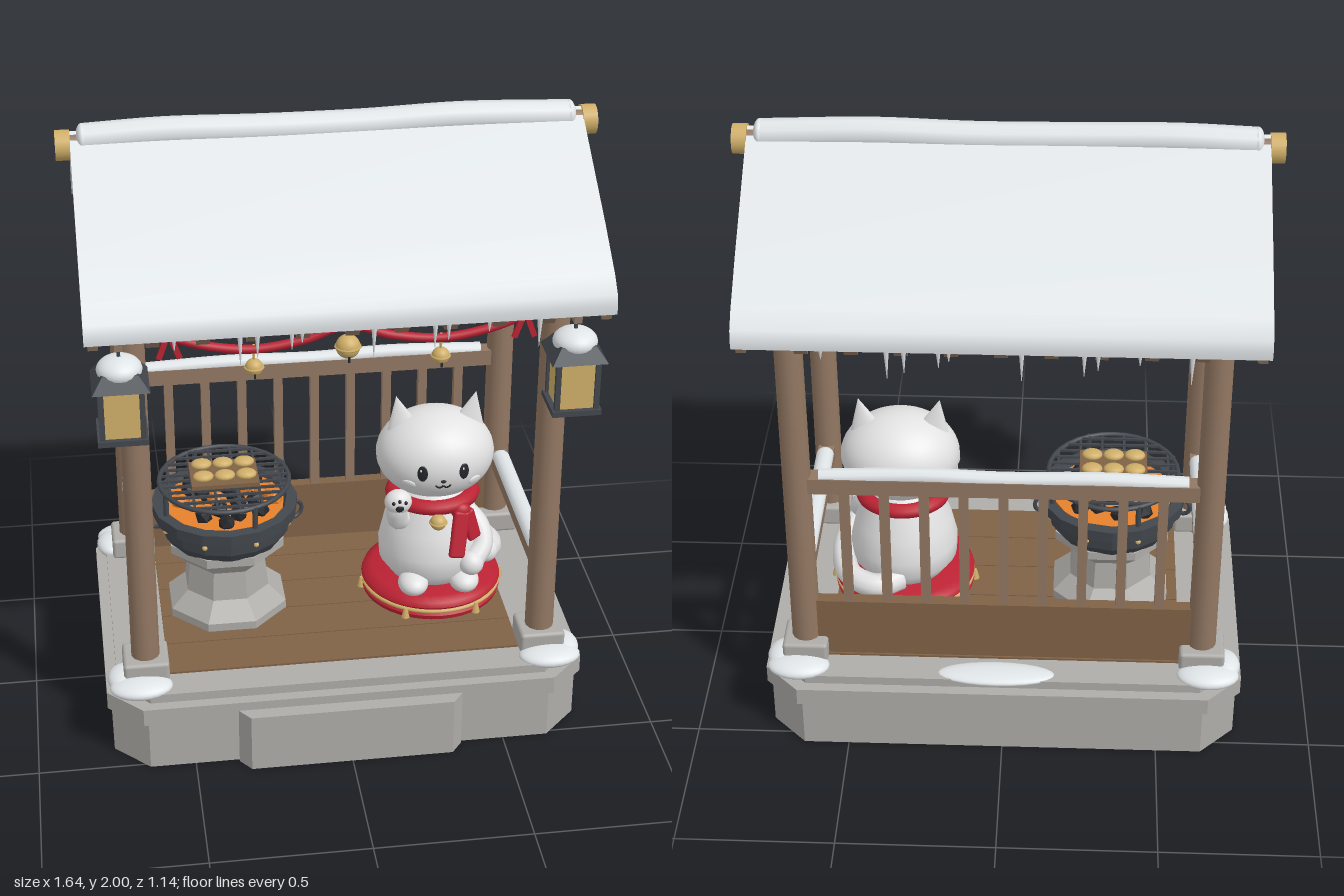
import * as THREE from 'three';
import { toCreasedNormals } from 'three/addons/utils/BufferGeometryUtils.js';
import { RoundedBoxGeometry } from 'three/addons/geometries/RoundedBoxGeometry.js';

const mat = (name, color) => Object.assign(new THREE.MeshStandardMaterial({ color }), { name });
const snow = mat('snow', 0xe9eef1), stone = mat('stone', 0xaeaca8), wood = mat('wood', 0x927762),
  floorWood = mat('floorWood', 0x806247), gold = mat('gold', 0xcfae68), red = mat('red', 0xbb2233),
  iron = mat('iron', 0x42474d), white = mat('catWhite', 0xe2e2e2), ember = mat('ember', 0xe5812c),
  dark = mat('charcoal', 0x24262a);

function put(parent, name, geo, m, x = 0, y = 0, z = 0) {
  const mesh = new THREE.Mesh(geo, m);
  mesh.name = name;
  mesh.position.set(x, y, z);
  parent.add(mesh);
  return mesh;
}
function group(parent, name, x = 0, y = 0, z = 0) {
  const g = new THREE.Group();
  g.name = name;
  g.position.set(x, y, z);
  parent.add(g);
  return g;
}
const box = (w, h, d) => new THREE.BoxGeometry(w, h, d);
const cyl = (a, b, h, n = 16) => new THREE.CylinderGeometry(a, b, h, n);
const ball = (x, y = x, z = x, n = 24) => new THREE.SphereGeometry(1, n, Math.ceil(n * 0.7)).scale(x, y, z);
const v2 = pts => pts.map(p => new THREE.Vector2(...p));
const v3 = pts => pts.map(p => new THREE.Vector3(...p));
const crease = (g, a = 0.6) => toCreasedNormals(g, a);
const lathe = (pts, n, a) => crease(new THREE.LatheGeometry(v2(pts), n), a);
const tube = (pts, r, n = 32) => new THREE.TubeGeometry(new THREE.CatmullRomCurve3(v3(pts)), n, r, 10);
// Outline in (x, z) raised from y = 0
function slab(pts, h) {
  return new THREE.ExtrudeGeometry(new THREE.Shape(v2(pts.map(([x, z]) => [x, -z]))), { depth: h, bevelEnabled: false })
    .rotateX(-Math.PI / 2);
}
// Outline in (z, y) stretched along x about the middle
function along(pts, w) {
  const g = new THREE.ExtrudeGeometry(new THREE.Shape(v2(pts)), { depth: w, bevelEnabled: false });
  return crease(g.translate(0, 0, -w / 2).rotateY(-Math.PI / 2), 0.5);
}
const octagon = (x, z, c) => [[-x, -z + c], [-x, z - c], [-x + c, z], [x - c, z], [x, z - c], [x, -z + c], [x - c, -z], [-x + c, -z]];
const mirror = pts => [...pts, ...pts.filter(p => p[0] !== 0).reverse().map(([z, y]) => [-z, y])];

function buildBase(root) {
  const g = group(root, 'base');
  put(g, 'plinth', slab(octagon(0.755, 0.53, 0.11), 0.17), stone);
  put(g, 'plinthCap', slab(octagon(0.77, 0.54, 0.11), 0.06), stone, 0, 0.17);
  put(g, 'kerb', slab(octagon(0.735, 0.505, 0.1), 0.03), stone, 0, 0.23);
  put(g, 'frontStep', slab([[-0.36, 0.5], [-0.36, 0.54], [-0.325, 0.585], [0.325, 0.585], [0.36, 0.54], [0.36, 0.5]], 0.2), stone);
  for (let i = 0; i < 5; i++) put(g, 'floorPlank', box(1.14, 0.02, 0.156), floorWood, 0, 0.257, (i - 2) * 0.16);
  put(g, 'snowPatch', ball(0.19, 0.02, 0.055), snow, 0.02, 0.257, -0.47);
}

function buildFrame(root) {
  const g = group(root, 'frame');
  for (const x of [-0.64, 0.64]) for (const z of [-0.372, 0.372]) {
    put(g, 'post', cyl(0.043, 0.046, 1.25, 14), wood, x, 0.92, z);
    put(g, 'postHead', box(0.1, 0.07, 0.08), wood, x, 1.535, z);
    put(g, 'postStone', new RoundedBoxGeometry(0.145, 0.075, 0.14, 2, 0.012), stone, x, 0.295, z);
    const s = Math.sign(x), t = Math.sign(z);
    put(g, 'postSnow', ball(0.1, 0.03, 0.065), snow, x + 0.02 * s, 0.262, z + 0.082 * t);
    put(g, 'postSnow', ball(0.05, 0.032, 0.07), snow, x + 0.075 * s, 0.262, z + 0.03 * t);
  }
  // Back railing
  const z = -0.372;
  put(g, 'backRail', box(1.22, 0.055, 0.055), wood, 0, 0.935, z);
  put(g, 'backPanel', box(1.22, 0.215, 0.04), floorWood, 0, 0.37, z);
  for (let i = -4; i <= 4; i++) put(g, 'baluster', box(0.03, 0.45, 0.03), wood, i * 0.124, 0.69, z);
  put(g, 'backRailSnow', tube([[-0.57, 0.957, z], [-0.3, 0.966, z], [0, 0.96, z], [0.25, 0.968, z], [0.57, 0.956, z]], 0.026), snow);
  // Side rails
  for (const x of [-0.64, 0.64]) {
    put(g, 'sideRail', box(0.055, 0.05, 0.68), wood, x, 0.552, 0);
    put(g, 'sideRailSnow', new THREE.CapsuleGeometry(0.03, 0.56, 6, 12).rotateX(Math.PI / 2).scale(1, 0.8, 1), snow, x, 0.577, 0);
  }
}

function buildRoof(root) {
  const g = group(root, 'roof');
  put(g, 'roofSnow', along(mirror([[0, 1.968], [0.36, 1.735], [0.5, 1.635], [0.545, 1.59], [0.555, 1.56], [0.552, 1.53], [0.54, 1.54], [0, 1.91]]), 1.555), snow);
  put(g, 'roofBoards', along(mirror([[0, 1.93], [0.545, 1.546], [0.53, 1.527], [0, 1.895]]), 1.5), wood);
  for (const s of [-1, 1]) {
    put(g, 'bargeBoard', along(mirror([[0, 1.925], [0.545, 1.545], [0.53, 1.505], [0, 1.87]]), 0.03), wood, s * 0.752);
    put(g, 'gable', along(mirror([[0, 1.9], [0.45, 1.585], [0.45, 1.53]]), 0.05), wood, s * 0.64);
    put(g, 'eaveBeam', box(1.5, 0.055, 0.07), wood, 0, 1.528, s * 0.372);
    for (const e of [-1, 1]) put(g, 'beamCap', box(0.012, 0.057, 0.072), gold, e * 0.754, 1.528, s * 0.372);
    for (let i = -4; i <= 4; i++) {
      put(g, 'rafter', box(0.04, 0.045, 0.64), wood, i * 0.145, 1.7, s * 0.268).rotation.x = s * 0.614;
    }
    [-0.52, -0.33, -0.28, -0.18, -0.15, 0.06, 0.24, 0.28, 0.4, 0.55].forEach((x, i) => {
      const h = 0.05 + 0.02 * ((i * 3) % 4);
      put(g, 'icicle', cyl(0.01, 0.001, h, 6), snow, x * s, 1.545 - h / 2, s * 0.54);
    });
    put(g, 'ridgeCap', cyl(0.046, 0.046, 0.045, 20).rotateZ(Math.PI / 2), gold, s * 0.799, 1.925);
  }
  put(g, 'ridgePole', cyl(0.038, 0.038, 1.56).rotateZ(Math.PI / 2), wood, 0, 1.925);
  put(g, 'ridgeSnow', tube([[-0.74, 1.943, 0], [-0.5, 1.952, 0], [-0.2, 1.947, 0.002], [0.1, 1.946, 0], [0.4, 1.954, 0], [0.74, 1.943, 0]], 0.046), snow);
  for (const s of [-1, 1]) put(g, 'ridgeSnowEnd', ball(0.02, 0.046, 0.046), snow, s * 0.74, 1.943);
}

function buildLantern(root, x) {
  const g = group(root, 'lantern', x, 0, 0.468);
  put(g, 'lanternArm', box(0.025, 0.025, 0.13), wood, 0, 1.49, -0.04);
  put(g, 'lanternCord', cyl(0.006, 0.006, 0.06, 6), iron, 0, 1.46);
  put(g, 'lanternGlow', box(0.118, 0.18, 0.118), gold, 0, 1.285);
  for (const a of [-1, 1]) for (const b of [-1, 1]) put(g, 'lanternCorner', box(0.016, 0.19, 0.016), iron, a * 0.06, 1.285, b * 0.06);
  put(g, 'lanternBase', box(0.15, 0.018, 0.15), iron, 0, 1.2);
  put(g, 'lanternFinial', cyl(0.008, 0.016, 0.03, 8), iron, 0, 1.178);
  put(g, 'lanternRoof', crease(cyl(0.075, 0.12, 0.045, 4).rotateY(Math.PI / 4), 0.3), iron, 0, 1.39);
  put(g, 'lanternSnow', ball(0.068, 0.042, 0.068), snow, 0, 1.41);
}

function buildGarland(root) {
  const g = group(root, 'garland', 0, 0, 0.425);
  put(g, 'rope', tube([[-0.55, 1.49, 0], [-0.42, 1.445, 0], [-0.28, 1.425, 0], [-0.13, 1.445, 0], [0, 1.485, 0],
    [0.13, 1.445, 0], [0.28, 1.425, 0], [0.42, 1.445, 0], [0.55, 1.49, 0]], 0.014, 64), red);
  for (const [x, y, r] of [[-0.28, 1.365, 0.027], [0, 1.415, 0.037], [0.28, 1.365, 0.027]]) {
    put(g, 'bellCord', cyl(0.004, 0.004, 0.07, 6), gold, x, y + 0.04);
    put(g, 'bell', ball(r), gold, x, y);
    put(g, 'bellBand', new THREE.TorusGeometry(r, 0.004, 6, 20).rotateX(Math.PI / 2), gold, x, y);
    put(g, 'bellSlot', box(0.006, r, 0.006), dark, x, y - r * 0.6, r * 0.75);
  }
  for (const s of [-1, 1]) {
    const bow = group(g, 'bow', s * 0.53, 1.49, 0.012);
    put(bow, 'bowKnot', ball(0.017), red);
    for (const e of [-1, 1]) {
      put(bow, 'bowLoop', new THREE.TorusGeometry(0.02, 0.009, 8, 16).scale(1.25, 0.8, 1), red, e * 0.032, 0.006).rotation.z = e * 0.3;
      put(bow, 'bowTail', box(0.017, 0.075, 0.008), red, e * 0.018, -0.038).rotation.z = e * 0.35;
    }
  }
}

function buildBrazier(root) {
  const g = group(root, 'brazier', -0.345, 0, 0);
  put(g, 'pedestal', lathe([[0, 0.262], [0.205, 0.262], [0.205, 0.295], [0.145, 0.35], [0.135, 0.45], [0.2, 0.51], [0.2, 0.54], [0, 0.54]], 8, 0.2).rotateY(Math.PI / 8), stone);
  put(g, 'bowl', lathe([[0, 0.53], [0.19, 0.535], [0.213, 0.57], [0.218, 0.615], [0.238, 0.62], [0.24, 0.66], [0.205, 0.662], [0.19, 0.63], [0, 0.625]], 16, 0.2), iron);
  put(g, 'embers', cyl(0.195, 0.195, 0.02, 20), ember, 0, 0.642);
  for (let i = 0; i < 22; i++) {
    const a = i * 2.4, r = 0.165 * Math.sqrt((i + 0.5) / 22);
    put(g, 'coal', new THREE.IcosahedronGeometry(0.03), i % 4 === 1 ? ember : dark, r * Math.cos(a), 0.685 - r * 0.15, r * Math.sin(a)).rotation.set(i, a, 0);
  }
  // Cooking grate
  put(g, 'grateRing', new THREE.TorusGeometry(0.212, 0.008, 8, 32).rotateX(Math.PI / 2), iron, 0, 0.735);
  for (let i = -5; i <= 5; i++) {
    const p = i * 0.036, len = 2 * Math.sqrt(0.212 ** 2 - p * p);
    put(g, 'grateBar', box(len, 0.008, 0.008), iron, 0, 0.737, p);
    if (i % 2) put(g, 'grateBar', box(0.008, 0.008, len), iron, p, 0.733, 0);
  }
  for (let i = 0; i < 8; i++) {
    const a = (i + 0.5) * Math.PI / 4, c = Math.cos(a), s = Math.sin(a);
    if (i % 2) put(g, 'grateLeg', cyl(0.009, 0.009, 0.09, 8), iron, c * 0.212, 0.695, s * 0.212);
    put(g, 'rivet', ball(0.009, 0.009, 0.009, 10), gold, c * 0.217, 0.6, s * 0.217);
  }
  for (const s of [-1, 1]) put(g, 'handle', new THREE.TorusGeometry(0.03, 0.007, 8, 20), iron, s * 0.228, 0.6).rotation.y = 0.4 * s;
  // Grilled food
  put(g, 'board', box(0.22, 0.014, 0.16), floorWood, 0, 0.752);
  for (let i = 0; i < 6; i++) put(g, 'riceCake', ball(0.034, 0.016, 0.028, 14), gold, (i % 3 - 1) * 0.07, 0.772, (i < 3 ? -1 : 1) * 0.04);
}

function buildCat(root) {
  const g = group(root, 'cat', 0.347, 0, 0);
  put(g, 'cushion', lathe([[0, 0.262], [0.2, 0.262], [0.23, 0.275], [0.234, 0.29], [0.222, 0.305], [0.234, 0.32], [0.228, 0.337], [0.2, 0.348], [0, 0.352]], 40, 0.9), red);
  put(g, 'cushionCord', new THREE.TorusGeometry(0.228, 0.007, 8, 48).rotateX(Math.PI / 2), gold, 0, 0.305);
  for (let i = 0; i < 6; i++) {
    const a = i * Math.PI / 3;
    put(g, 'tassel', cyl(0.006, 0.014, 0.035, 8), gold, 0.236 * Math.cos(a), 0.295, 0.236 * Math.sin(a));
  }
  put(g, 'body', lathe([[0, 0.345], [0.14, 0.35], [0.175, 0.4], [0.178, 0.46], [0.16, 0.54], [0.13, 0.61], [0.105, 0.68], [0, 0.7]], 32, 1.5), white);
  // Head and face
  const rx = 0.195, ry = 0.15, rz = 0.168, head = group(g, 'head', 0.005, 0.79, 0);
  put(head, 'skull', ball(rx, ry, rz, 36), white);
  for (const s of [-1, 1]) put(head, 'ear', new THREE.ConeGeometry(0.062, 0.14, 20).scale(1, 1, 0.48), white, s * 0.118, 0.142).rotation.z = -s * 0.2;
  const onFace = (name, geo, m, x, y) => {
    const z = rz * Math.sqrt(1 - (x / rx) ** 2 - (y / ry) ** 2);
    const mesh = put(head, name, geo, m);
    head.remove(mesh);
    mesh.position.set(x, y, z);
    mesh.lookAt(x + x / rx ** 2, y + y / ry ** 2, z + z / rz ** 2);
    head.add(mesh);
  };
  for (const s of [-1, 1]) {
    onFace('eye', ball(0.017, 0.028, 0.005), dark, s * 0.068, 0.005);
    onFace('eyeShine', ball(0.005, 0.007, 0.007, 10), white, s * 0.068 - 0.004, 0.016);
    onFace('cheek', ball(0.024, 0.017, 0.006), white, s * 0.108, -0.045);
    onFace('mouth', new THREE.TorusGeometry(0.012, 0.003, 6, 12, Math.PI).rotateZ(Math.PI), dark, s * 0.012, -0.038);
  }
  onFace('nose', ball(0.009, 0.006, 0.005, 12), dark, 0, -0.024);
  // Scarf and bell
  put(g, 'scarf', new THREE.TorusGeometry(0.113, 0.03, 12, 36).rotateX(Math.PI / 2).scale(1.1, 0.85, 1), red, 0, 0.638);
  put(g, 'scarfKnot', ball(0.034, 0.03, 0.025), red, 0.075, 0.62, 0.115);
  put(g, 'scarfTail', new RoundedBoxGeometry(0.055, 0.16, 0.024, 2, 0.01), red, 0.065, 0.55, 0.15).rotation.set(-0.25, 0.2, -0.15);
  put(g, 'scarfTail', new RoundedBoxGeometry(0.05, 0.11, 0.022, 2, 0.01), red, 0.108, 0.57, 0.125).rotation.set(-0.2, 0.5, 0.3);
  put(g, 'collarBell', ball(0.027), gold, -0.005, 0.6, 0.145);
  put(g, 'bellBand', new THREE.TorusGeometry(0.027, 0.004, 6, 20).rotateX(Math.PI / 2), gold, -0.005, 0.6, 0.145);
  // Limbs and tail
  put(g, 'raisedArm', tube([[-0.09, 0.58, 0.04], [-0.13, 0.595, 0.1], [-0.14, 0.64, 0.125], [-0.137, 0.68, 0.13]], 0.035, 16), white);
  put(g, 'raisedPaw', ball(0.045, 0.042, 0.038), white, -0.137, 0.682, 0.132);
  put(g, 'pawPad', ball(0.014, 0.012, 0.005, 12), dark, -0.137, 0.675, 0.168);
  for (const [x, y] of [[-0.157, 0.694], [-0.137, 0.7], [-0.117, 0.694]]) put(g, 'toePad', ball(0.006, 0.007, 0.005, 10), dark, x, y, 0.165);
  put(g, 'loweredArm', tube([[0.1, 0.58, 0.03], [0.145, 0.53, 0.07], [0.15, 0.48, 0.11], [0.11, 0.44, 0.15]], 0.037, 16), white);
  put(g, 'loweredPaw', ball(0.042), white, 0.108, 0.438, 0.152);
  for (const s of [-1, 1]) put(g, 'foot', ball(0.05, 0.038, 0.06), white, s * 0.085, 0.375, 0.15);
  put(g, 'tail', tube([[0, 0.39, -0.15], [0.08, 0.385, -0.19], [0.17, 0.39, -0.14], [0.2, 0.405, -0.05], [0.195, 0.425, 0.03], [0.17, 0.44, 0.085]], 0.04), white);
  put(g, 'tailTip', ball(0.04), white, 0.17, 0.44, 0.085);
}

export function createModel() {
  const model = new THREE.Group();
  model.name = 'snowyShrine';
  const root = group(model, 'shrine', 0, 0, -0.015);
  buildBase(root);
  buildFrame(root);
  buildRoof(root);
  for (const x of [-0.678, 0.678]) buildLantern(root, x);
  buildGarland(root);
  buildBrazier(root);
  buildCat(root);
  return model;
}
